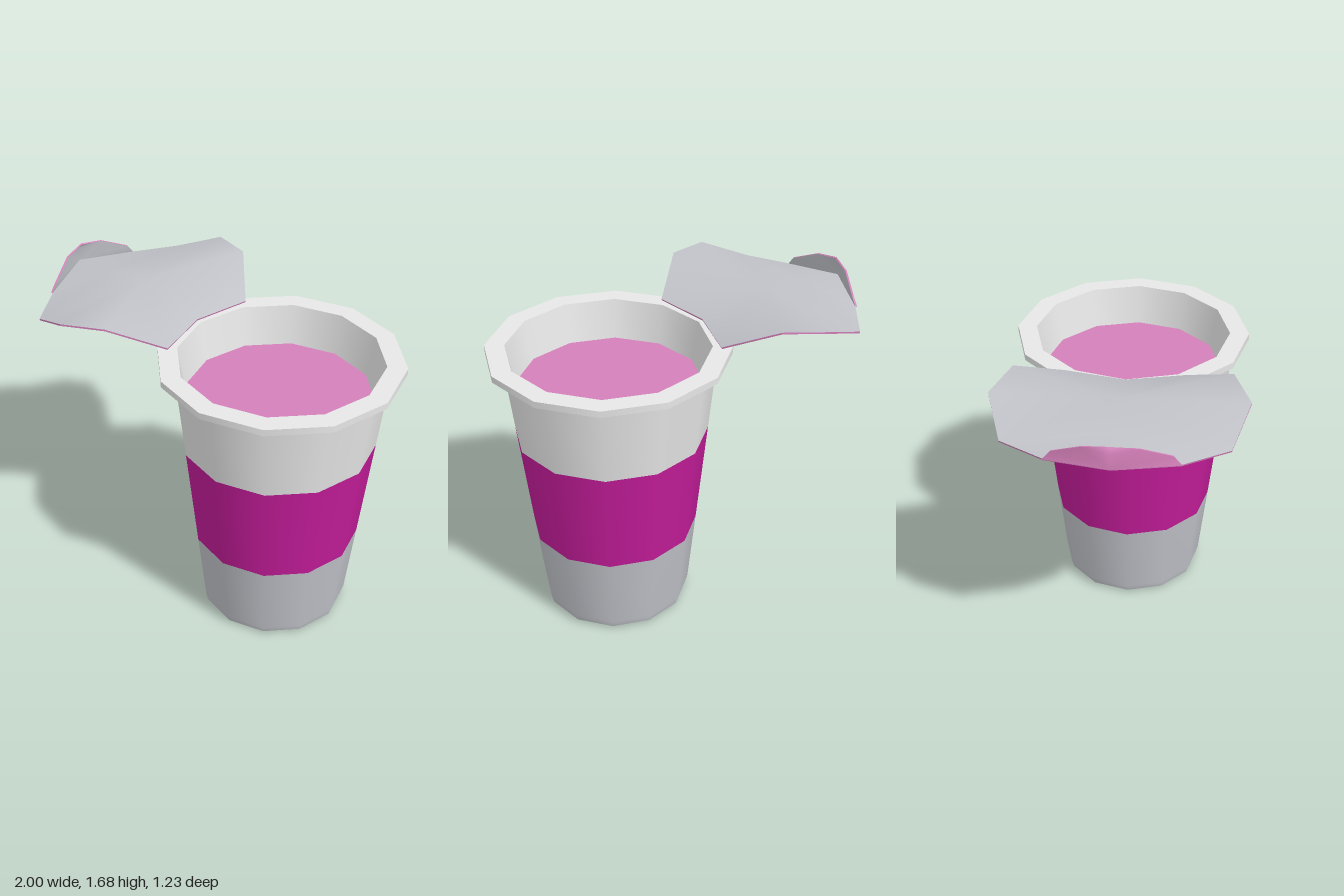
import * as THREE from 'three';
import { mergeVertices } from 'three/addons/utils/BufferGeometryUtils.js';

const SIDES = 12;
const FOIL = 0.009; // foil thickness
const mat = (name, color) => {
  const m = new THREE.MeshStandardMaterial({ color });
  m.name = name;
  return m;
};

// Radius of the tapered cup wall at height y
const wall = (y) => 0.396 + (y - 0.05) * (0.144 / 1.41);

export function createModel() {
  const white = mat('white plastic', 0xe8e8e8);
  const silver = mat('silver foil', 0xc0c2c8);
  const magenta = mat('magenta band', 0xc31c99);
  const pink = mat('pink yoghurt', 0xd480b9);

  const model = new THREE.Group();
  model.name = 'yoghurtCup';
  const cup = new THREE.Group();
  cup.name = 'cup';
  cup.position.x = 0.385;
  model.add(cup);

  // Twelve-sided turned piece; separate calls keep the edges between them sharp
  const turned = (name, material, ...profile) => {
    const pts = profile.map(([r, y]) => new THREE.Vector2(r, y));
    const mesh = new THREE.Mesh(new THREE.LatheGeometry(pts, SIDES), material);
    mesh.name = name;
    cup.add(mesh);
  };

  // Base and wall, from the bottom up
  turned('base', silver, [0, 0], [0.36, 0], [0.385, 0.012]);
  turned('lowerWall', silver, [0.385, 0.012], [wall(0.05), 0.05], [wall(0.466), 0.466]);
  turned('band', magenta, [wall(0.466), 0.466], [wall(1.04), 1.04]);
  turned('upperWall', white, [wall(1.04), 1.04], [wall(1.463), 1.463]);

  // Rim, inside and contents
  turned('rimUnderside', white, [0.535, 1.461], [0.59, 1.463], [0.615, 1.476]);
  turned('rimEdge', white, [0.615, 1.476], [0.615, 1.51]);
  turned('rimTop', white, [0.615, 1.51], [0.515, 1.51]);
  turned('innerWall', white, [0.515, 1.51], [0.475, 1.3]);
  turned('yoghurt', pink, [0.475, 1.3], [0, 1.3]);

  const addFoil = (name, geo, material) => {
    geo.computeVertexNormals();
    const mesh = new THREE.Mesh(geo, material);
    mesh.name = name;
    model.add(mesh);
  };
  const fromTriangles = (tris) => {
    const geo = new THREE.BufferGeometry();
    geo.setAttribute('position', new THREE.Float32BufferAttribute(tris.flat(2), 3));
    return geo;
  };

  // Thin foil from the triangles of its +z half: silver above, pink below and on the cut edge
  const foil = (name, tris) => {
    const flip = ([x, y, z]) => [x, y, -z];
    const faces = tris.flatMap(([a, b, c]) => [[a, b, c], [flip(a), flip(c), flip(b)]]);
    const top = mergeVertices(fromTriangles(faces));
    addFoil(name + 'Top', top, silver);

    // Underside points lie one thickness behind the top points
    const { position, normal } = top.attributes;
    const upper = [], lower = [];
    for (let i = 0; i < position.count; i++) {
      const p = new THREE.Vector3().fromBufferAttribute(position, i);
      upper.push(p.toArray());
      lower.push(p.addScaledVector(new THREE.Vector3().fromBufferAttribute(normal, i), -FOIL).toArray());
    }
    const index = Array.from(top.index.array);
    const under = [], edges = [];
    for (let i = 0; i < index.length; i += 3) {
      const [a, b, c] = index.slice(i, i + 3);
      under.push([lower[a], lower[c], lower[b]]);
      edges.push([a, b], [b, c], [c, a]);
    }
    addFoil(name + 'Underside', mergeVertices(fromTriangles(under)), pink);

    // Cut edge along every side that only one triangle uses
    const outline = edges.filter(([a, b]) => !edges.some(([c, d]) => c === b && d === a));
    const strip = outline.flatMap(([a, b]) => [
      [upper[a], lower[a], lower[b]], [upper[a], lower[b], upper[b]],
    ]);
    addFoil(name + 'Edge', fromTriangles(strip), pink);
  };

  // Lid: centre line points and outline points, from the hinge outwards
  const hinge = [-0.15, 1.521, 0], crest = [-0.505, 1.632, 0];
  const slope = [-0.755, 1.605, 0], end = [-0.89, 1.59, 0], fold = [-0.995, 1.578, 0];
  const corner = [-0.08, 1.52, 0.305], peak = [-0.28, 1.654, 0.53], widest = [-0.505, 1.637, 0.613];
  const low = [-0.753, 1.536, 0.528], tabRoot = [-0.888, 1.542, 0.308];
  foil('lid', [
    [hinge, crest, corner], [corner, crest, peak], [peak, crest, widest],
    [crest, slope, low], [crest, low, widest],
    [slope, end, tabRoot], [slope, tabRoot, low], [end, fold, tabRoot],
  ]);

  // Pull tab curled up at the far end of the lid
  const bend = [-0.991, 1.652, 0], tip = [-0.97, 1.676, 0];
  const shoulder = [-0.945, 1.659, 0.125], side = [-0.889, 1.59, 0.27];
  foil('pullTab', [
    [fold, bend, shoulder], [fold, shoulder, side], [fold, side, tabRoot], [bend, tip, shoulder],
  ]);

  return model;
}
